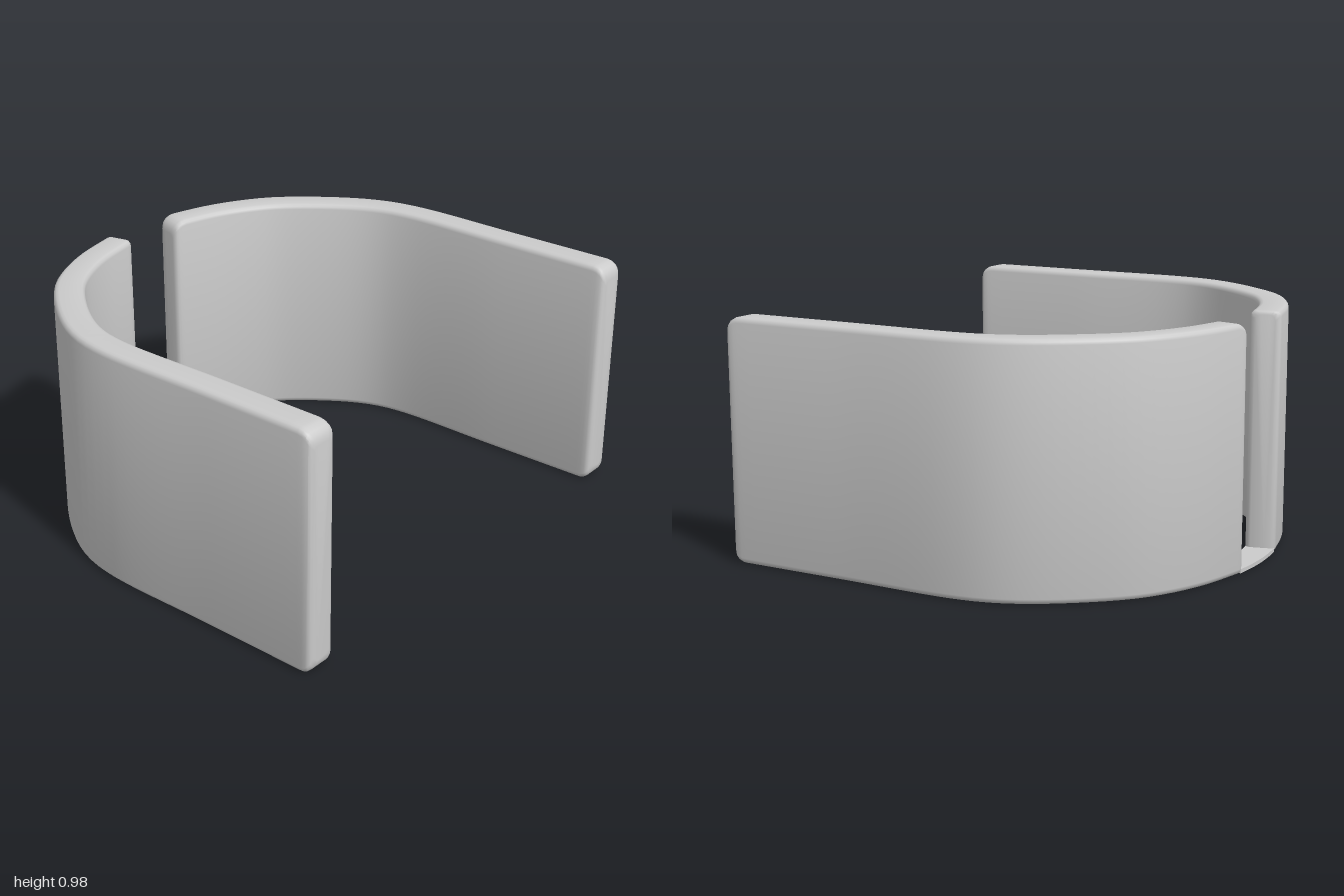
import * as THREE from 'three';
import { toCreasedNormals } from 'three/addons/utils/BufferGeometryUtils.js';

const HEIGHT = 0.98, EDGE = 0.022;

// Centre line of one side, from the front end round to the gap at the back (x, z)
const PATH = [[0.933, 0.91], [0.93, 0.4], [0.927, -0.1], [0.893, -0.26], [0.81, -0.42],
  [0.64, -0.63], [0.525, -0.715], [0.365, -0.79], [0.143, -0.848]];

// How far a corner of radius r is cut back at distance d from its end
const inset = (d, r) => (d >= r ? 0 : r - Math.sqrt(r * r - (r - d) ** 2));

// Cross-section with rounded edges: (offset across the wall, height)
function section(half, bottom, top) {
  const points = [];
  const r = Math.min(EDGE, half * 0.6);
  [[1, bottom + r, -90], [1, top - r, 0], [-1, top - r, 90], [-1, bottom + r, 180]].forEach(([side, y, start]) => {
    for (let k = 0; k <= 3; k++) {
      const a = THREE.MathUtils.degToRad(start + k * 30);
      points.push([side * (half - r) + r * Math.cos(a), y + r * Math.sin(a)]);
    }
  });
  return points;
}

// Curved wall swept along the centre line, mirrored by sign
function wallGeometry(sign, gapCorner) {
  const curve = new THREE.CatmullRomCurve3(PATH.map(([x, z]) => new THREE.Vector3(x, 0, z)));
  const length = curve.getLength();
  const ends = [0, 0.004, 0.012, 0.022, 0.04, 0.06];
  const stations = [...ends];
  for (let i = 1; i < 40; i++) stations.push(0.06 + (length - 0.12) * i / 40);
  stations.push(...ends.map((d) => length - d).reverse());

  const position = [], index = [];
  let count = 0;
  stations.forEach((d) => {
    const u = Math.min(1, d / length), e = Math.max(0, length - d);
    const p = curve.getPointAt(u), t = curve.getTangentAt(u);
    const half = 0.065 - 0.004 * u - inset(Math.min(d, e), EDGE);
    const top = HEIGHT - inset(d, 0.06) - inset(e, gapCorner);
    const ring = section(half, inset(d, 0.05), top);
    count = ring.length;
    ring.forEach(([o, y]) => position.push(sign * (p.x - t.z * o), y, p.z + t.x * o));
  });

  const face = (a, b, c) => (sign > 0 ? index.push(a, b, c) : index.push(a, c, b));
  const last = (stations.length - 1) * count;
  for (let j = 0; j < count; j++) {
    const k = (j + 1) % count;
    for (let i = 0; i < last; i += count) {
      face(i + j, i + count + j, i + k);
      face(i + k, i + count + j, i + count + k);
    }
    // End caps
    if (j > 0 && k > 0) {
      face(0, j, k);
      face(last, last + k, last + j);
    }
  }
  const geometry = new THREE.BufferGeometry();
  geometry.setAttribute('position', new THREE.Float32BufferAttribute(position, 3));
  geometry.setIndex(index);
  return toCreasedNormals(geometry, 0.7);
}

// Thin strip that joins the two walls under the gap
function bridgeGeometry() {
  const shape = new THREE.Shape();
  shape.moveTo(-0.17, 0.9);
  shape.quadraticCurveTo(0, 0.925, 0.17, 0.9);
  shape.lineTo(0.15, 0.785);
  shape.quadraticCurveTo(0, 0.815, -0.15, 0.785);
  shape.closePath();
  const geometry = new THREE.ExtrudeGeometry(shape, { depth: 0.016, bevelEnabled: false, curveSegments: 8 });
  return geometry.rotateX(-Math.PI / 2).translate(0, 0.003, 0);
}

export function createModel() {
  const group = new THREE.Group();
  const material = new THREE.MeshStandardMaterial({ color: 0xcccccc });
  const add = (name, geometry) => {
    const mesh = new THREE.Mesh(geometry, material);
    mesh.name = name;
    group.add(mesh);
  };
  add('leftWall', wallGeometry(1, 0.06));
  add('rightWall', wallGeometry(-1, 0.015));
  add('bridgeStrip', bridgeGeometry());
  return group;
}
